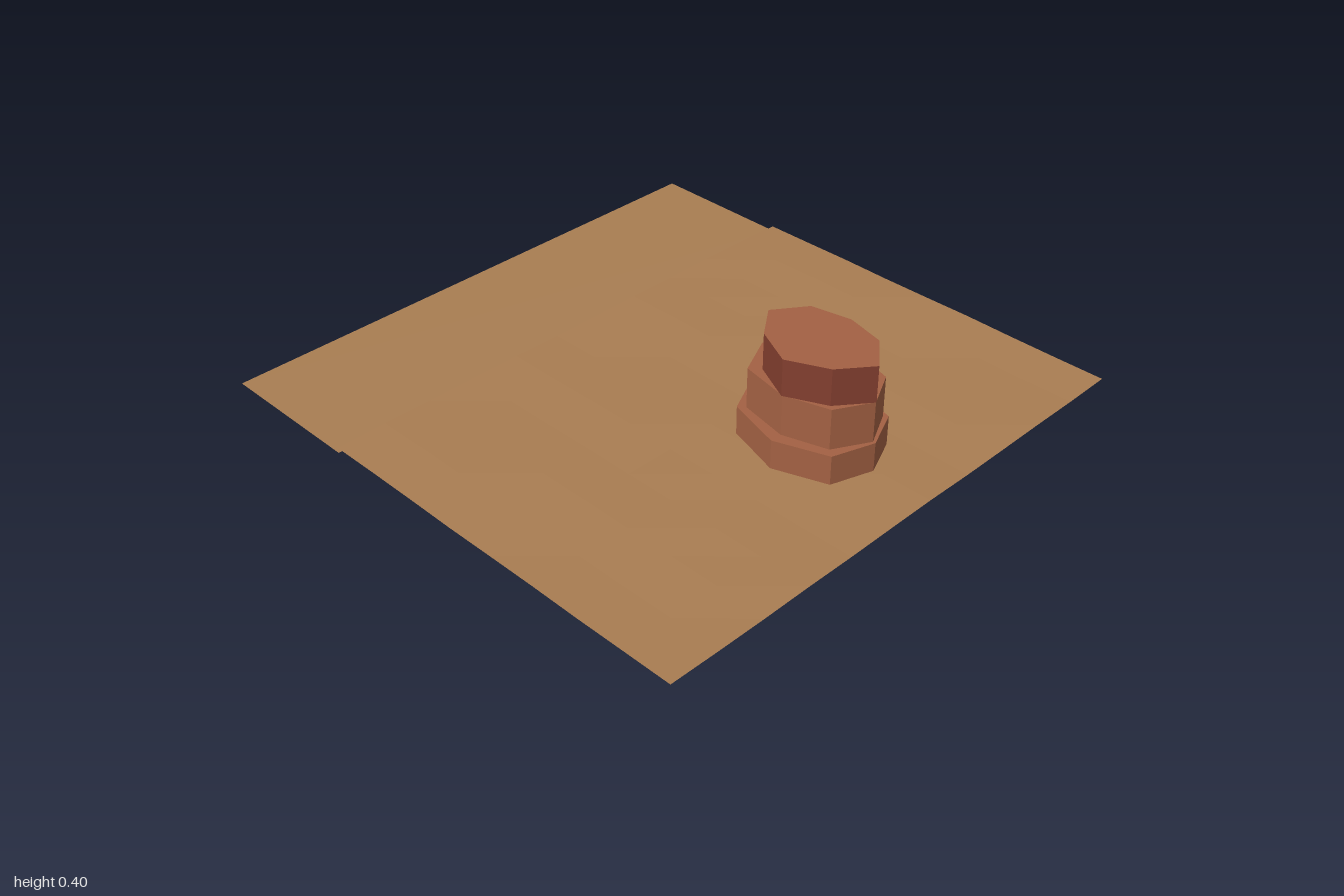
import * as THREE from 'three';

export function createModel() {
  const group = new THREE.Group();
  const mat = (name, color) => new THREE.MeshStandardMaterial({
    name, color, flatShading: true, side: THREE.DoubleSide,
  });
  const sand = mat('sand', 0xa97d52);
  const clay = mat('clay', 0xa36143);
  const darkClay = mat('dark clay', 0x833f2f);

  const add = (name, geometry, material, parent = group) => {
    const mesh = new THREE.Mesh(geometry, material);
    mesh.name = name;
    parent.add(mesh);
    return mesh;
  };

  // Flat lower strip of ground on the -x side
  add('lowerGround', new THREE.PlaneGeometry(0.54, 2).rotateX(-Math.PI / 2), sand)
    .position.set(-0.73, 0, 0);

  // Slightly uneven raised ground
  const ground = new THREE.PlaneGeometry(1.46, 2, 8, 11).rotateX(-Math.PI / 2);
  const gp = ground.attributes.position;
  for (let i = 0; i < gp.count; i++) {
    const x = gp.getX(i), z = gp.getZ(i);
    gp.setY(i, 0.0025 * Math.sin(7 * x + 3 * z) * Math.cos(9 * z - 4 * x));
  }
  ground.computeVertexNormals();
  add('raisedGround', ground, sand).position.set(0.27, 0.02, 0);

  // Stepped rock: eight radii per layer, from +x turning towards +z
  const layers = [
    { name: 'lowerRock', y: 0, h: 0.125, wall: clay,
      radii: [0.231, 0.258, 0.266, 0.276, 0.271, 0.25, 0.228, 0.242] },
    { name: 'middleRock', y: 0.125, h: 0.145, wall: clay,
      radii: [0.221, 0.218, 0.213, 0.243, 0.237, 0.222, 0.215, 0.222] },
    { name: 'topRock', y: 0.27, h: 0.13, wall: darkClay,
      radii: [0.223, 0.195, 0.218, 0.192, 0.216, 0.196, 0.174, 0.19] },
  ];

  // Pull each corner of a unit octagon out to its radius and squash it in z
  const shapeRock = (geometry, radii) => {
    const p = geometry.attributes.position;
    for (let i = 0; i < p.count; i++) {
      const x = p.getX(i), z = p.getZ(i);
      const r = radii[(Math.round(Math.atan2(z, x) / (Math.PI / 4)) + 8) % 8];
      p.setX(i, x * r);
      p.setZ(i, z * r * 0.8);
    }
    geometry.computeVertexNormals();
    return geometry;
  };

  const rock = new THREE.Group();
  rock.name = 'steppedRock';
  rock.position.set(0.556, 0, -0.083);
  group.add(rock);
  for (const { name, y, h, wall, radii } of layers) {
    const sides = new THREE.CylinderGeometry(1, 1, h, 8, 1, true);
    add(name + 'Wall', shapeRock(sides, radii), wall, rock).position.y = y + h / 2;
    const cap = new THREE.CircleGeometry(1, 8).rotateX(-Math.PI / 2);
    add(name + 'Top', shapeRock(cap, radii), clay, rock).position.y = y + h;
  }

  return group;
}
